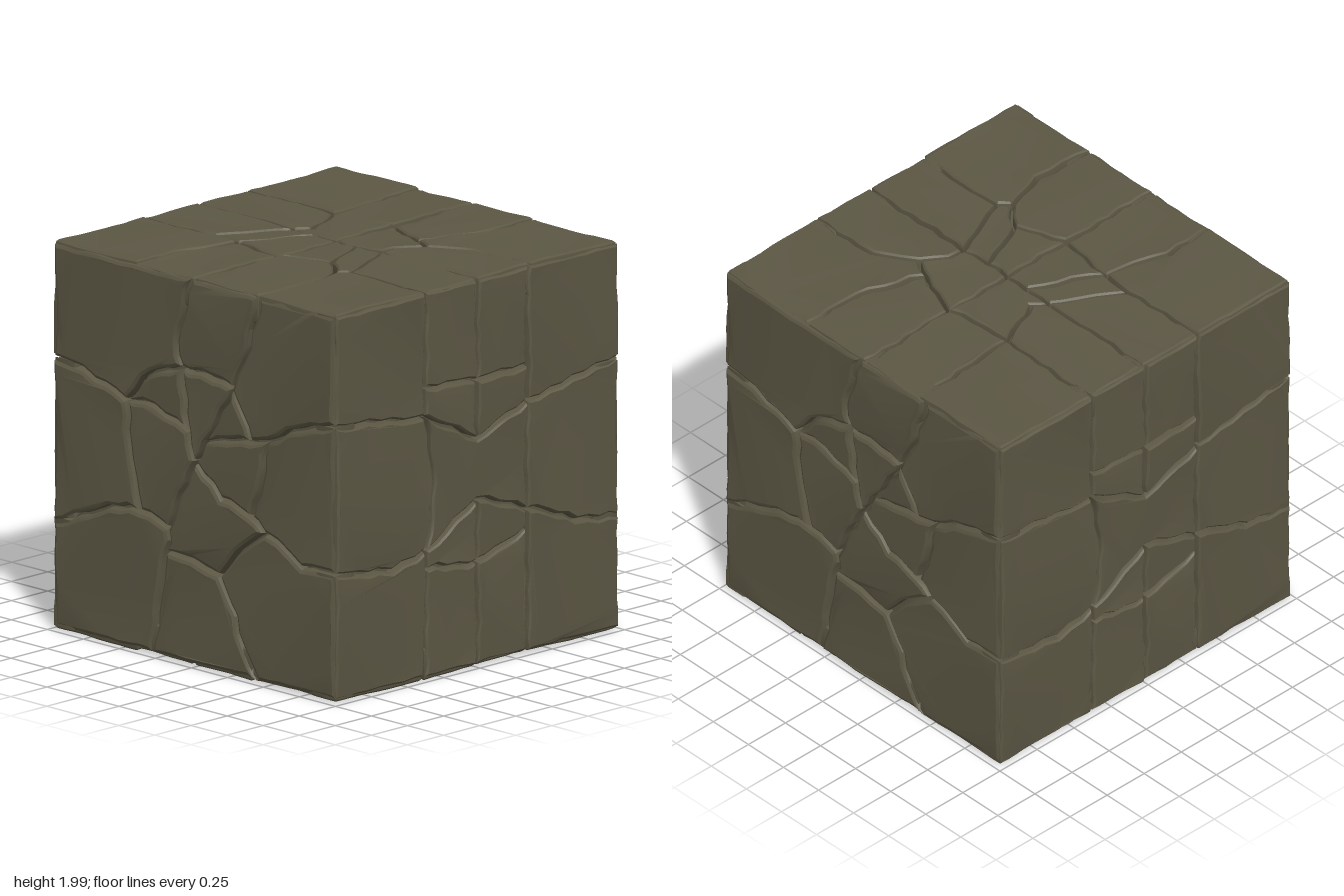
import * as THREE from 'three';
import { toCreasedNormals } from 'three/addons/utils/BufferGeometryUtils.js';

// Stone outlines, each a flat list of u, v pairs. Walls: v is height 0..2.
const frontUpper = [
  [-1, 2, -.02, 2, -.13, 1.65, -.1, 1.52, -.37, 1.42, -.47, 1.28, -.78, 1.37, -1, 1.4],
  [-.1, 1.52, -.37, 1.42, -.47, 1.28, -.28, 1.28, -.05, 1.2],
  [-.02, 2, .46, 2, .38, 1.72, .27, 1.49, -.1, 1.52, -.13, 1.65],
  [.46, 2, 1, 2, 1, 1.42, .75, 1.36, .51, 1.25, .4, 1.23, .27, 1.49, .38, 1.72],
  [-.1, 1.52, .27, 1.49, .08, 1.17, 0, 1.05, -.05, 1.2],
  [.27, 1.49, .4, 1.23, .08, 1.17],
];
const frontMiddle = [
  [.08, 1.17, .4, 1.23, .51, 1.25, .48, 1.05, .4, .85, .18, .9, 0, 1.05],
  [-1, 1.4, -.78, 1.37, -.47, 1.28, -.46, 1.05, -.39, .73, -.6, .7, -1, .55],
  [-.47, 1.28, -.28, 1.28, -.05, 1.2, 0, 1.05, -.13, .8, -.18, .67, -.39, .73, -.46, 1.05],
  [.51, 1.25, .75, 1.36, 1, 1.42, 1, .66, .75, .66, .5, .78, .4, .85, .48, 1.05],
];
const frontLower = [
  [0, 1.05, .18, .9, .4, .85, .5, .78, .3, .65, .17, .5, -.02, .53, -.2, .55, -.18, .67, -.13, .8],
  [-1, .55, -.6, .7, -.39, .73, -.18, .67, -.2, .55, -.25, .3, -.3, 0, -1, 0],
  [-.2, .55, -.02, .53, .17, .5, .28, .3, .33, .15, .45, 0, -.3, 0, -.25, .3],
  [.17, .5, .3, .65, .5, .78, .75, .66, 1, .66, 1, 0, .45, 0, .33, .15, .28, .3],
];

const L = -.36, R = .35;
const sideUpper = [
  [-1, 2, L, 2, L, 1.5, L, 1.35, -1, 1.42],
  [L, 2, 0, 2, 0, 1.48, L, 1.5],
  [0, 2, R, 2, R, 1.48, 0, 1.48],
  [R, 2, 1, 2, 1, 1.4, R, 1.3, R, 1.48],
  [L, 1.5, 0, 1.48, 0, 1.17, L, 1.35],
  [0, 1.48, R, 1.48, R, 1.3, 0, 1.17],
];
const sideLower = [
  [-1, 1.42, L, 1.35, -.3, 1, L, .66, -.6, .6, -1, .66],
  [L, 1.35, 0, 1.17, R, 1.3, R, .75, 0, .86, L, .66, -.3, 1],
  [R, 1.3, 1, 1.4, 1, .58, .7, .62, R, .75],
  [L, .66, 0, .86, 0, .53, L, .57],
  [0, .86, R, .75, R, .64, 0, .53],
  [-1, .66, -.6, .6, L, .66, L, .57, L, 0, -1, 0],
  [L, .57, 0, .53, 0, 0, L, 0],
  [0, .53, R, .64, R, 0, 0, 0],
  [R, .75, .7, .62, 1, .58, 1, 0, R, 0, R, .64],
];

// Top stones: pairs are x, z.
const topBack = [
  [-1, -1, -.4, -1, -.4, -.7, -.37, -.35, -.55, -.37, -1, -.37],
  [-.4, -1, -.02, -1, 0, -.4, -.37, -.35, -.4, -.7],
  [-.02, -1, .4, -1, .4, -.65, .28, -.3, 0, -.4],
  [.4, -1, 1, -1, 1, -.37, .6, -.37, .4, -.24, .28, -.3, .4, -.65],
  [-1, -.37, -.55, -.37, -.37, -.35, -.25, -.08, -.3, -.01, -1, -.01],
  [-.37, -.35, 0, -.4, 0, 0, -.15, 0, -.3, -.01, -.25, -.08],
  [0, -.4, .28, -.3, .4, -.24, .3, -.12, .3, -.01, .15, 0, 0, 0],
  [.4, -.24, .6, -.37, 1, -.37, 1, -.01, .3, -.01, .3, -.12],
];
const topFront = [
  [-1, -.01, -.3, -.01, -.5, .35, -1, .36],
  [-.3, -.01, -.15, 0, -.32, .36, -.5, .35],
  [-.15, 0, 0, 0, 0, .4, -.32, .36],
  [0, 0, .15, 0, .27, .3, 0, .4],
  [.15, 0, .3, -.01, .47, .35, .4, .4, .27, .3],
  [.3, -.01, 1, -.01, 1, .35, .47, .35],
  [-1, .36, -.5, .35, -.32, .36, -.42, .7, -.4, 1, -1, 1],
  [-.32, .36, 0, .4, 0, 1, -.4, 1, -.42, .7],
  [0, .4, .27, .3, .4, .4, .47, .65, .45, 1, 0, 1],
  [.4, .4, .47, .35, 1, .35, 1, 1, .45, 1, .47, .65],
];

const GAP = 0.007, OUTER = 0.985, BASE = 0.86;

// Gentle warp that roughens every outline; neighbours share it, so joints stay even.
function roughen(u, v) {
  const du = 0.007 * Math.sin(31 * u + 47 * v) + 0.005 * Math.sin(71 * v - 19 * u);
  const dv = 0.007 * Math.sin(43 * u - 29 * v + 1) + 0.005 * Math.sin(67 * u + 23 * v);
  const move = (c, d) => (Math.abs(c) > 0.999
    ? Math.sign(c) * (0.978 + GAP - Math.abs(d) * 0.8)
    : c * 0.985 + d);
  return new THREE.Vector2(move(u, du), move(v, dv));
}

// One stone: a subdivided outline, extruded with a chipped bevel and an uneven face.
function stoneGeometry(flat, toUV, bevel, seed) {
  const corners = [];
  for (let i = 0; i < flat.length; i += 2) corners.push(toUV(flat[i], flat[i + 1]));
  const outline = [];
  corners.forEach(([u, v], i) => {
    const [u2, v2] = corners[(i + 1) % corners.length];
    const n = Math.max(1, Math.round(Math.hypot(u2 - u, v2 - v) / 0.08));
    for (let k = 0; k < n; k++) {
      outline.push(roughen(u + (u2 - u) * k / n, v + (v2 - v) * k / n));
    }
  });
  const thick = 0.03;
  const geometry = new THREE.ExtrudeGeometry(new THREE.Shape(outline), {
    depth: OUTER - BASE - thick, steps: 1, bevelEnabled: true, bevelSegments: 2,
    bevelThickness: thick, bevelSize: bevel, bevelOffset: -bevel - GAP,
  });
  const p = geometry.attributes.position;
  for (let i = 0; i < p.count; i++) {
    const x = p.getX(i), y = p.getY(i), z = p.getZ(i);
    const wave = 0.004 * Math.sin(9 * x + seed) + 0.004 * Math.sin(8 * y + 2 * seed);
    p.setZ(i, z + BASE + (z > 0.05 ? wave : 0));
  }
  return toCreasedNormals(geometry, 0.45);
}

export function createModel() {
  const model = new THREE.Group();
  model.name = 'crackedStoneBlock';
  const stone = new THREE.MeshStandardMaterial({ color: 0x5c5744 });
  stone.name = 'mossy grey stone';

  // Inner block forming the floor of the cracks
  const core = new THREE.Mesh(new THREE.BoxGeometry(1.86, 1.86, 1.86), stone);
  core.name = 'core';
  core.position.y = 1;
  model.add(core);

  const wall = (u, y) => [u, y - 1];
  const lid = (x, z) => [x, -z];
  const front = [...frontUpper, ...frontMiddle, ...frontLower];
  const side = [...sideUpper, ...sideLower];
  const top = [...topBack, ...topFront];
  const q = Math.PI / 2;

  // Six faces: name, stones, outline mapping, bevel width, x and y turn
  [
    ['front', front, wall, 0.022, 0, 0],
    ['back', front, wall, 0.022, 0, 2 * q],
    ['left', side, wall, 0.014, 0, q],
    ['right', side, wall, 0.014, 0, -q],
    ['top', top, lid, 0.013, -q, 0],
    ['bottom', top, lid, 0.013, q, 0],
  ].forEach(([name, stones, toUV, bevel, rx, ry]) => {
    const face = new THREE.Group();
    face.name = name + 'Stones';
    stones.forEach((flat, i) => {
      const mesh = new THREE.Mesh(stoneGeometry(flat, toUV, bevel, i * 1.7), stone);
      mesh.name = name + 'Stone' + (i + 1);
      face.add(mesh);
    });
    face.rotation.set(rx, ry, 0);
    face.position.y = 1;
    model.add(face);
  });
  return model;
}
